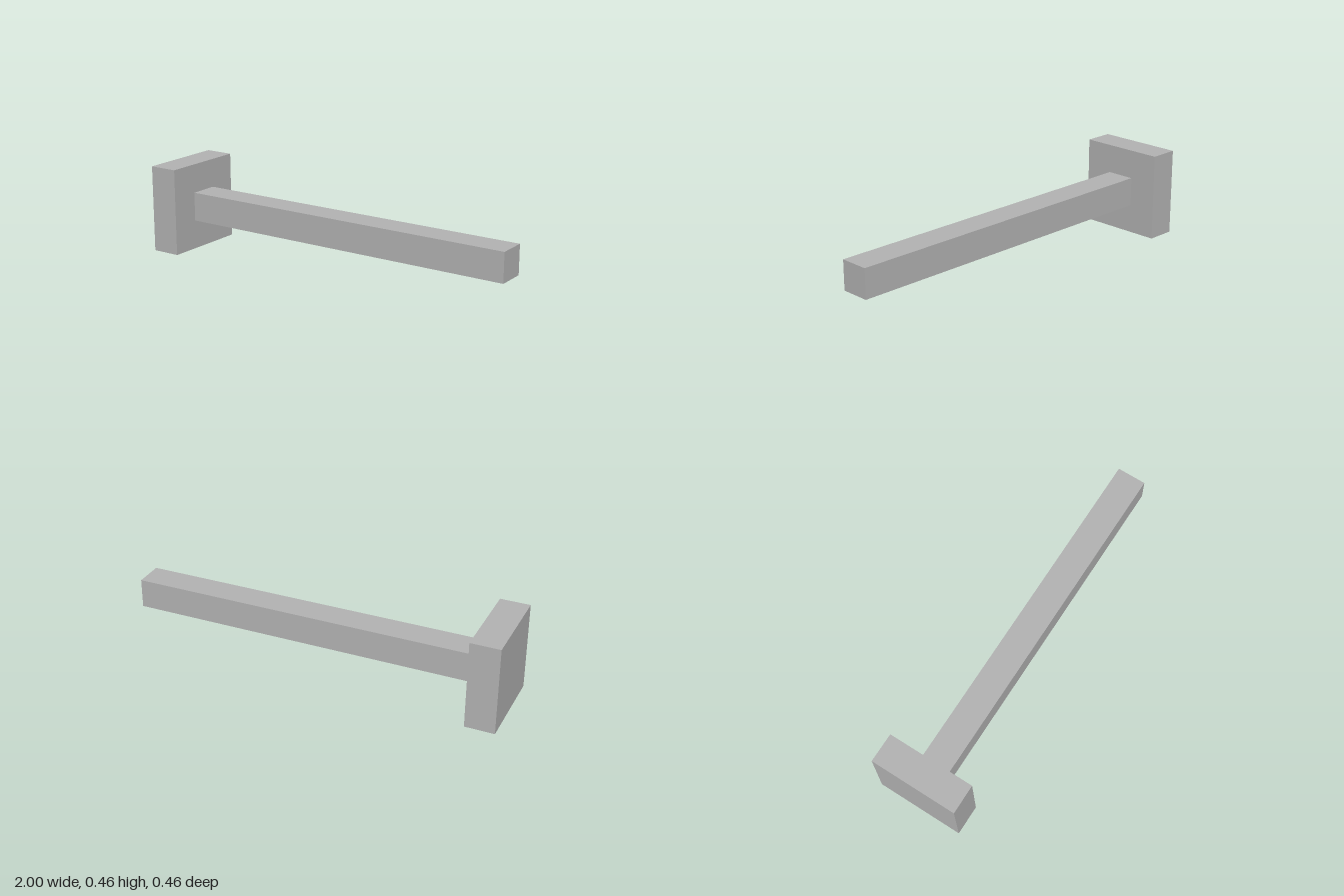
import * as THREE from 'three';

// One module of the design: the whole length is 13 modules.
const U = 2 / 13;

export function createModel() {
  const group = new THREE.Group();
  group.name = 'mallet';
  const grey = new THREE.MeshStandardMaterial({ color: 0xb2b2b2 });
  grey.name = 'grey';

  const addBox = (name, length, side, x) => {
    const mesh = new THREE.Mesh(new THREE.BoxGeometry(length, side, side), grey);
    mesh.name = name;
    mesh.position.set(x, 1.5 * U, 0);
    group.add(mesh);
  };

  // Square end plate, then the long square bar running from it
  addBox('endPlate', U, 3 * U, -1 + U / 2);
  addBox('bar', 12 * U, U, U / 2);

  return group;
}
